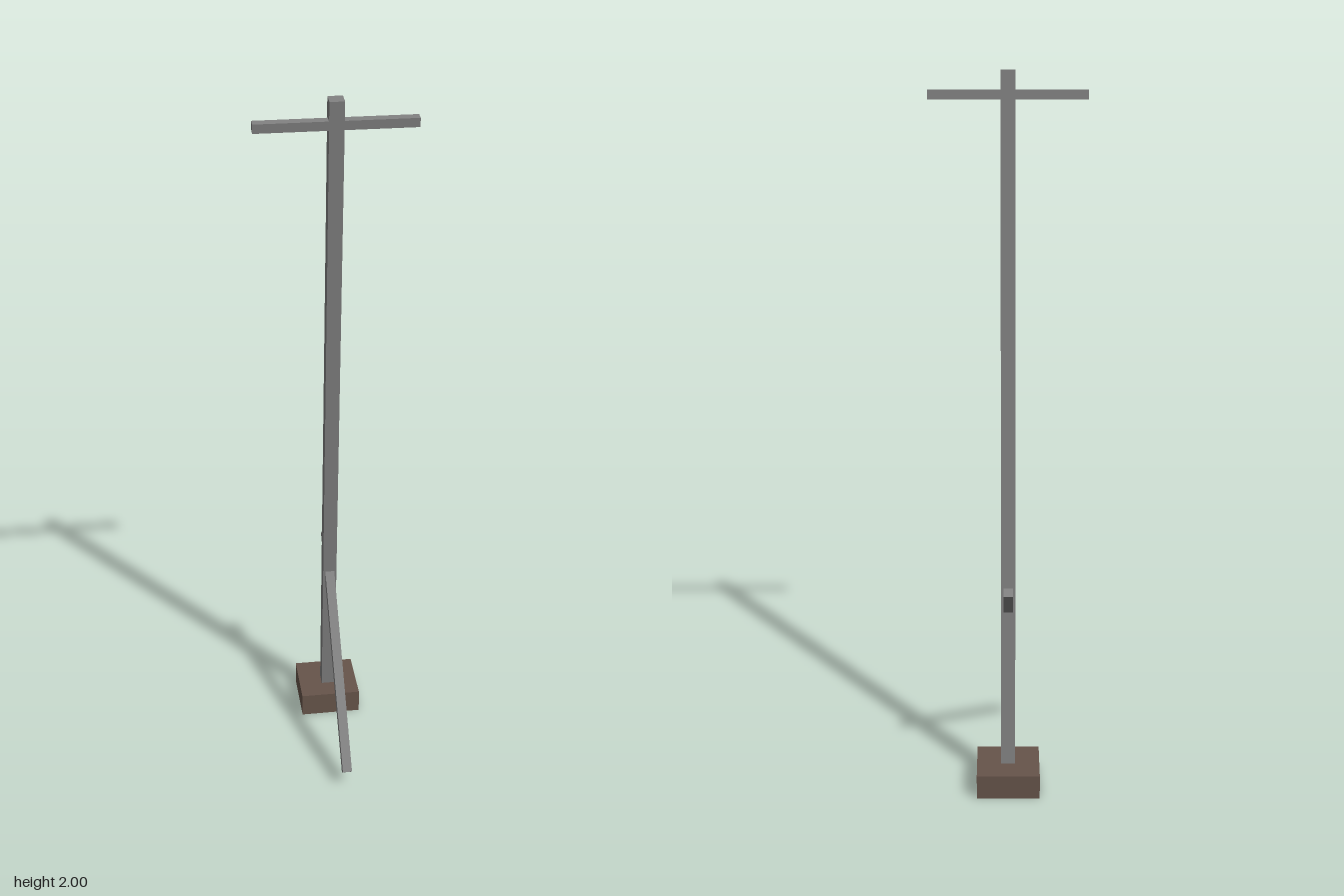
import * as THREE from 'three';

export function createModel() {
  const group = new THREE.Group();
  const metal = new THREE.MeshStandardMaterial({ color: 0x808080 });
  const brown = new THREE.MeshStandardMaterial({ color: 0x66544a });

  // Box of given size, centred at (0, y, z) and tilted about the x axis
  function bar(name, size, y, z, tilt, material) {
    const mesh = new THREE.Mesh(new THREE.BoxGeometry(...size), material);
    mesh.name = name;
    mesh.position.set(0, y, z);
    mesh.rotation.x = tilt;
    group.add(mesh);
  }

  const lean = THREE.MathUtils.degToRad(6);

  // Ground block
  bar('base', [0.178, 0.07, 0.178], 0.035, -0.185, 0, brown);

  // Leaning post, its foot sunk into the block
  const length = 1.97;
  const topY = 1.998, topZ = 0.025;
  bar('post', [0.04, length, 0.04],
    topY - Math.cos(lean) * length / 2, topZ - Math.sin(lean) * length / 2, lean, metal);

  // Crossbar near the top, tilted with the post
  bar('crossbar', [0.43, 0.025, 0.025], 1.933, 0.025, lean, metal);

  // Diagonal brace passing through the post
  bar('brace', [0.027, 0.717, 0.027], 0.323, 0.03, THREE.MathUtils.degToRad(-40), metal);

  return group;
}
